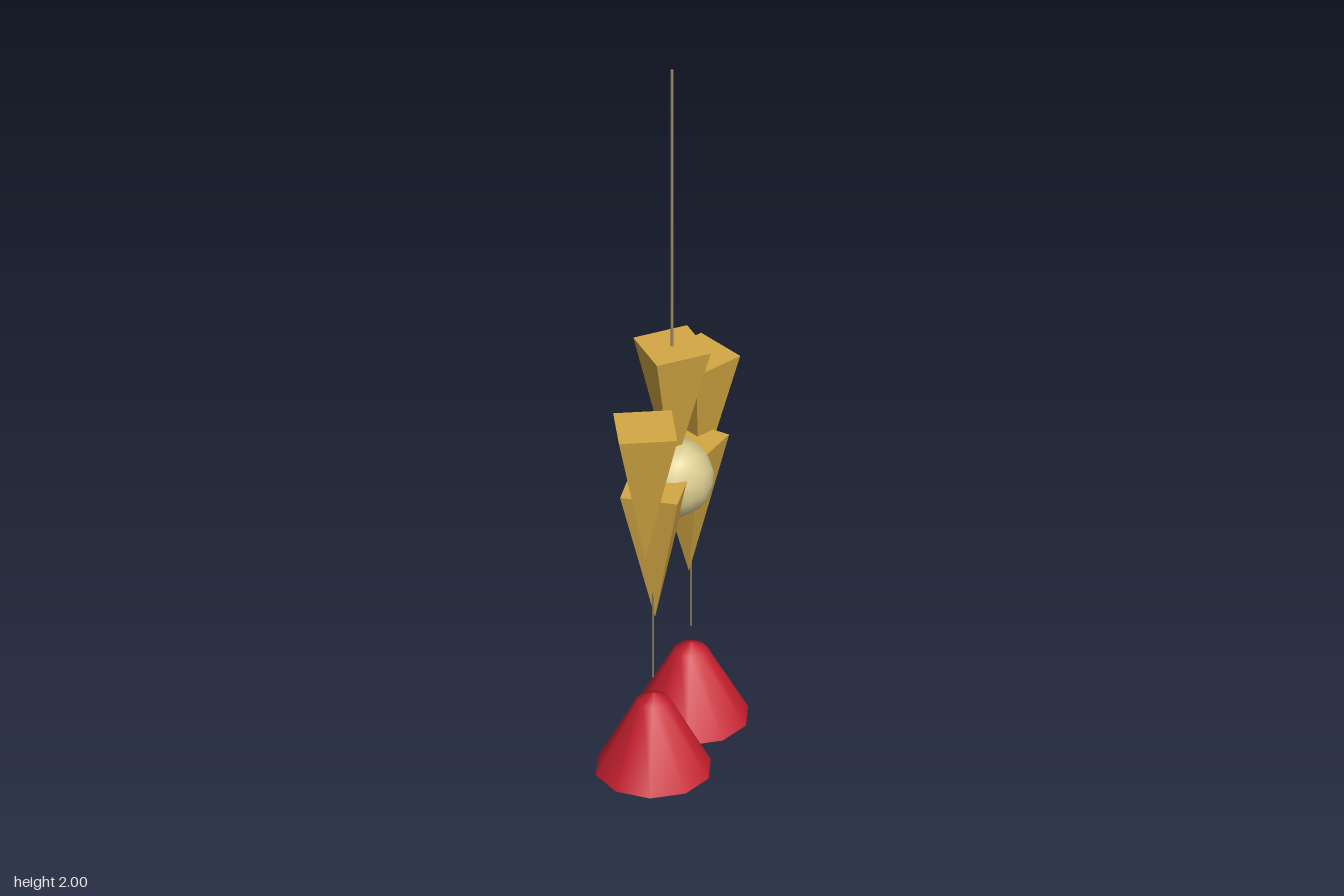
import * as THREE from 'three';

export function createModel() {
  const mat = (name, color, extra = {}) => {
    const m = new THREE.MeshStandardMaterial({ color, ...extra });
    m.name = name;
    return m;
  };
  const gold = mat('gold', 0xd4a843, { flatShading: true });
  const cream = mat('cream', 0xd8cb90);
  const red = mat('red', 0xc8202f);
  const cord = mat('cord', 0x9a8a6a);

  const group = new THREE.Group();
  const add = (name, geometry, material, x, y, z) => {
    const mesh = new THREE.Mesh(geometry, material);
    mesh.name = name;
    mesh.position.set(x, y, z);
    group.add(mesh);
    return mesh;
  };

  // Inverted square pyramid: flat top at topY, point hanging below
  const spikeHeight = 0.39;
  const spike = (name, topY, z, turn) => {
    const g = new THREE.CylinderGeometry(0.105, 0, spikeHeight, 4);
    add(name, g, gold, 0, topY - spikeHeight / 2, z).rotation.y = THREE.MathUtils.degToRad(turn);
  };
  // Cord between two heights
  const string = (name, y0, y1, z, r) =>
    add(name, new THREE.CylinderGeometry(r, r, y1 - y0, 6), cord, 0, (y0 + y1) / 2, z);

  // Central bead, with its poles to the sides
  add('bead', new THREE.SphereGeometry(0.107, 10, 8), cream, 0, 0.79, 0).rotation.z = Math.PI / 2;

  // Hanging cord and top spike
  string('hangingCord', 1.17, 2, 0, 0.004);
  spike('topSpike', 1.18, 0, 0);

  // Front and back halves mirror each other
  for (const s of [1, -1]) {
    const side = s > 0 ? 'front' : 'back';
    spike(side + 'UpperSpike', 1.045, 0.186 * s, -18 * s);
    spike(side + 'LowerSpike', 0.83, 0.118 * s, -36 * s);
    string(side + 'BellCord', 0.27, 0.6, 0.132 * s, 0.002);

    // Ten-sided bell: sloping wall, blunt tip and closed base
    const base = s > 0 ? 0 : 0.007;
    const profile = [[0.15, base], [0.042, 0.203], [0, 0.222]].map(p => new THREE.Vector2(...p));
    add(side + 'Bell', new THREE.LatheGeometry(profile, 10), red, 0, 0, 0.13 * s).rotation.y = Math.PI / 2;
    const disc = add(side + 'BellBase', new THREE.CircleGeometry(0.15, 10), red, 0, base, 0.13 * s);
    disc.rotation.x = Math.PI / 2;
  }
  return group;
}
